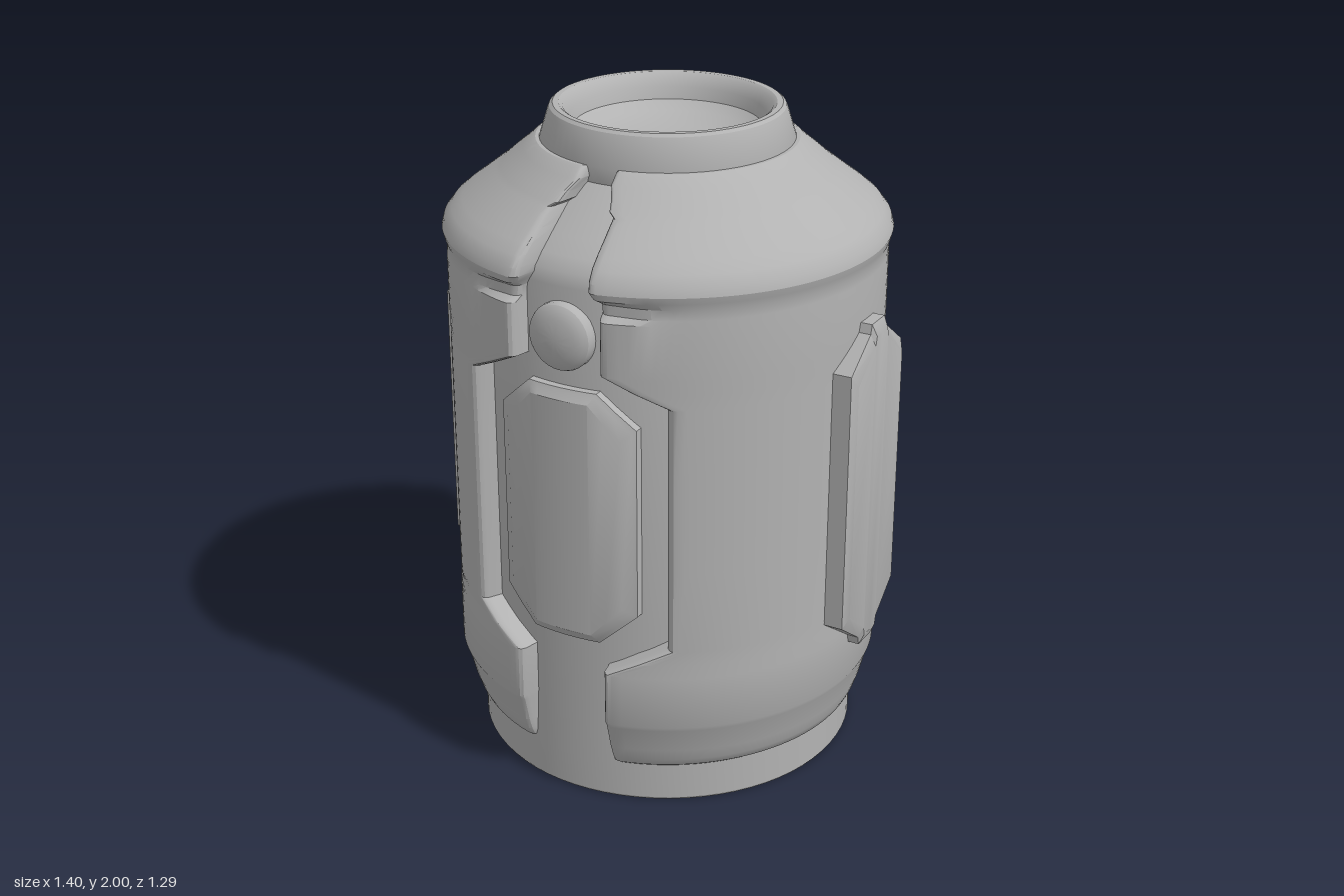
import * as THREE from 'three';
import { toCreasedNormals } from 'three/addons/utils/BufferGeometryUtils.js';

const metal = new THREE.MeshStandardMaterial({ color: 0xb2b2b2 });
metal.name = 'plain grey';

const creased = (geo) => toCreasedNormals(geo, 0.5);

function lathe(points, segments) {
  return creased(new THREE.LatheGeometry(points.map((p) => new THREE.Vector2(p[0], p[1])), segments));
}

function fromQuads(points, quads) {
  const geo = new THREE.BufferGeometry();
  geo.setAttribute('position', new THREE.Float32BufferAttribute(points.flat(), 3));
  geo.setIndex(quads.flatMap(([a, b, c, d]) => [a, b, c, a, c, d]));
  return creased(geo);
}

// Linear lookup in a list of [key, value] pairs
function lookup(table, t) {
  for (let i = 1; i < table.length; i++) {
    const [k0, v0] = table[i - 1], [k1, v1] = table[i];
    if (t <= k1) return v0 + (v1 - v0) * Math.max(0, (t - k0) / (k1 - k0));
  }
  return table[table.length - 1][1];
}

// Outer shell radius by row: [radius, height]
const shellProfile = [
  [0.58, 0.12], [0.6, 0.135], [0.612, 0.16], [0.625, 0.2], [0.645, 0.28], [0.652, 0.295],
  [0.652, 0.46], [0.651, 0.505], [0.65, 0.55], [0.65, 0.8], [0.65, 1.05], [0.65, 1.31], [0.65, 1.355],
  [0.651, 1.4], [0.651, 1.56], [0.65, 1.575], [0.65, 1.605], [0.657, 1.625], [0.662, 1.645],
  [0.655, 1.67], [0.632, 1.7], [0.6, 1.727], [0.56, 1.757], [0.52, 1.788], [0.5, 1.803],
  [0.485, 1.815], [0.457, 1.84], [0.42, 1.87], [0.395, 1.893], [0.383, 1.9], [0.34, 1.9],
];

// Half width of the slot between the shell halves, by height
const slot = [
  [0.12, 0.14], [0.46, 0.14], [0.55, 0.32], [1.31, 0.32], [1.4, 0.14], [1.6, 0.14],
  [1.645, 0.115], [1.803, 0.1], [1.815, 0.08], [1.84, 0.07], [1.87, 0.05], [1.9, 0.05],
];

function shellHalf() {
  const points = [], quads = [], n = 56;
  const rim = [[0, 0.1], [0, 0.022], [0.008, 0.009], [0.022, 0.002], [0.04, 0]];
  for (const [r, y] of shellProfile) {
    const a0 = Math.asin(lookup(slot, y) / r);
    // Rounded rim, plain wall, mirrored rim
    const cols = rim.map(([da, dr]) => [a0 + da, dr]);
    const start = a0 + 0.04, span = Math.PI - 2 * start;
    for (let j = 1; j < n; j++) cols.push([start + (span * j) / n, 0]);
    for (const [da, dr] of [...rim].reverse()) cols.push([Math.PI - a0 - da, dr]);
    for (const [a, dr] of cols) {
      // Notch under the shoulder that fades away from the slot
      const off = Math.min(a - a0, Math.PI - a0 - a);
      const dip = y > 1.57 && y < 1.61 ? 0.025 * Math.exp(-((off / 0.2) ** 2)) : 0;
      const rr = Math.max(r - dr - dip, 0.34);
      points.push([rr * Math.sin(a), y, rr * Math.cos(a)]);
    }
  }
  const w = n - 1 + 2 * rim.length;
  for (let i = 0; i < shellProfile.length - 1; i++) {
    for (let j = 0; j < w - 1; j++) {
      const k = i * w + j;
      quads.push([k, k + 1, k + w + 1, k + w]);
    }
  }
  return fromQuads(points, quads);
}

// Bevelled plate: outline lists [x, half height] from the middle outwards,
// layers list [z, inset x, inset y]; bend is an optional radius of curvature
function plate(outline, layers, bend) {
  const cols = [...outline.slice(1).reverse().map(([x, h]) => [-x, h]), ...outline];
  const n = cols.length, m = 2 * n, width = outline[outline.length - 1][0];
  const points = [], quads = [];
  for (const [z, ix, iy] of layers) {
    const ring = cols.map(([x, h]) => {
      const px = x * (1 - ix / width);
      return [px, h - iy, bend ? z - bend + Math.sqrt(bend * bend - px * px) : z];
    });
    points.push(...ring, ...[...ring].reverse().map(([x, y, pz]) => [x, -y, pz]));
  }
  for (let l = 0; l < layers.length - 1; l++) {
    for (let j = 0; j < m; j++) {
      const p = l * m + j, q = l * m + ((j + 1) % m);
      quads.push([p, p + m, q + m, q]);
    }
  }
  const top = (layers.length - 1) * m;
  for (let j = 0; j < n - 1; j++) {
    quads.push([top + m - 1 - j, top + m - 2 - j, top + j + 1, top + j]);
  }
  return fromQuads(points, quads);
}

export function createModel() {
  const model = new THREE.Group();
  model.name = 'canister';
  const add = (name, geo, y = 0, turn = 0) => {
    const holder = new THREE.Group();
    holder.name = name;
    holder.rotation.y = turn;
    const mesh = new THREE.Mesh(geo, metal);
    mesh.name = name + 'Surface';
    mesh.position.y = y;
    holder.add(mesh);
    model.add(holder);
  };

  // Inner body with recessed underside, neck and shallow bowl
  add('innerBody', lathe([
    [0, 0.035], [0.495, 0.035], [0.515, 0], [0.58, 0], [0.585, 0.008], [0.585, 0.115], [0.585, 0.6],
    [0.585, 1.62], [0.575, 1.66], [0.545, 1.695], [0.5, 1.735], [0.365, 1.85], [0.372, 1.9],
    [0.347, 1.98], [0.342, 1.992], [0.332, 2], [0.315, 2], [0.303, 1.992], [0.285, 1.96],
    [0.275, 1.925], [0.24, 1.9], [0.16, 1.88], [0.08, 1.872], [0, 1.87],
  ], 72));

  // Two mirrored shell halves
  const shell = shellHalf();
  add('leftShell', shell);
  add('rightShell', shell, 0, Math.PI);

  // Curved plates and buttons in the front and back slots
  const curved = plate(
    [[0, 0.395], [0.04, 0.395], [0.08, 0.395], [0.11, 0.395], [0.165, 0.345], [0.22, 0.295]],
    [[0.54, 0, 0], [0.608, 0, 0], [0.613, 0.01, 0.01], [0.627, 0.035, 0.03]], 0.627);
  const button = lathe([
    [0.1, 0], [0.1, 0.022], [0.096, 0.032], [0.085, 0.041], [0.06, 0.05], [0.03, 0.055], [0, 0.057],
  ], 32);
  button.rotateX(Math.PI / 2);
  button.translate(0, 0, 0.579);
  for (const [side, turn] of [['front', 0], ['back', Math.PI]]) {
    add(side + 'Plate', curved, 0.935, turn);
    add(side + 'Button', button, 1.48, turn);
  }

  // Flat plates on the left and right
  const flat = plate(
    [[0, 0.52], [0.042, 0.52], [0.05, 0.492], [0.17, 0.405]],
    [[0.6, 0, 0], [0.685, 0, 0], [0.7, 0.02, 0.035]]);
  add('leftPlate', flat, 0.935, Math.PI / 2);
  add('rightPlate', flat, 0.935, -Math.PI / 2);
  return model;
}
